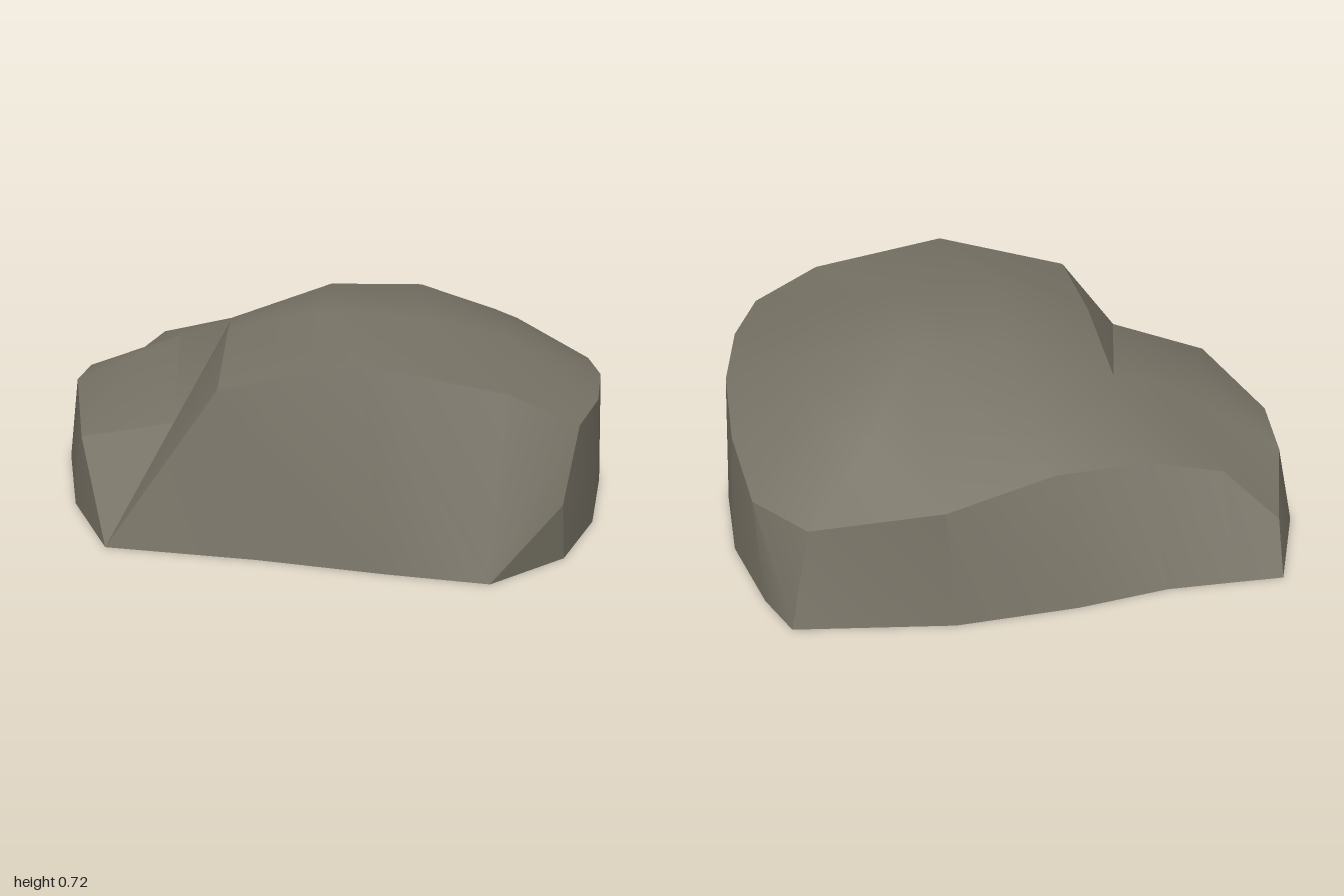
import * as THREE from 'three';
import { toCreasedNormals } from 'three/addons/utils/BufferGeometryUtils.js';

const stone = new THREE.MeshStandardMaterial({ color: 0x777265, side: THREE.DoubleSide });
stone.name = 'stone';

// Rings run counter-clockwise seen from above, starting at the foot of the cleft.
const foot = [-0.75, 0, 0.6];
const base = [
  [-0.75, 0.6], [-0.23, 0.68], [0.2, 0.77], [0.54, 0.83], [0.54, 0.83], [0.8, 0.64],
  [0.93, 0.36], [1, 0], [0.99, -0.3], [0.9, -0.6], [0.82, -0.76], [0.28, -0.835],
  [-0.14, -0.82], [-0.46, -0.78], [-0.7, -0.785], [-0.87, -0.79], [-1, -0.48],
  [-1, -0.16], [-0.91, 0.26], [-0.75, 0.6],
].map(([x, z]) => [x, 0, z]);

// Sharp shoulder edge where the sides meet the top
const corner = [0.83, 0.47, 0.61];
const rim = [
  foot, [-0.36, 0.555, 0.54], [0.11, 0.675, 0.61], [0.59, 0.585, 0.63], corner, corner,
  [0.92, 0.47, 0.38], [0.965, 0.455, 0.1], [0.96, 0.405, -0.2], [0.91, 0.335, -0.48],
  [0.74, 0.337, -0.675], [0.3, 0.43, -0.78], [-0.09, 0.427, -0.635], [-0.41, 0.413, -0.6],
  [-0.68, 0.35, -0.61], [-0.87, 0.18, -0.69], [-0.95, 0.275, -0.42],
  [-0.965, 0.3, -0.2], [-0.87, 0.27, 0.28], foot,
];

// Key points on the top
const cleft = [-0.53, 0.365, 0.37], cleftEnd = [-0.38, 0.53, -0.23];
const ridge = [-0.36, 0.61, 0.1], peak = [-0.02, 0.72, 0.21];
const crown = [0.33, 0.695, -0.18], crownLeft = [0, 0.695, -0.18];
const front = [0.34, 0.695, 0.2], right = [0.6, 0.63, 0.2];
const backLeft = [-0.57, 0.475, -0.22], left = [-0.72, 0.435, -0.12];
const inner = [
  cleft, ridge, peak, front, right, right, right, [0.68, 0.595, 0], [0.69, 0.56, -0.2],
  [0.62, 0.54, -0.36], [0.5, 0.53, -0.45], crown, crownLeft, cleftEnd, backLeft, backLeft,
  left, left, cleft, cleft,
];

const same = (a, b) => a.every((v, i) => v === b[i]);

// Add a triangle unless two corners coincide
function tri(out, a, b, c) {
  if (!same(a, b) && !same(b, c) && !same(a, c)) out.push(...a, ...b, ...c);
}

// Join columns from..to of two rings
function strip(out, low, high, from, to) {
  for (let i = from; i < to; i++) {
    tri(out, low[i], low[i + 1], high[i]);
    tri(out, low[i + 1], high[i + 1], high[i]);
  }
}

function fan(out, centre, points) {
  for (let i = 0; i < points.length - 1; i++) tri(out, centre, points[i], points[i + 1]);
}

function part(name, points, crease) {
  const g = new THREE.BufferGeometry();
  g.setAttribute('position', new THREE.Float32BufferAttribute(points, 3));
  g.computeVertexNormals();
  const mesh = new THREE.Mesh(toCreasedNormals(g, crease), stone);
  mesh.name = name;
  return mesh;
}

export function createModel() {
  const group = new THREE.Group();
  group.name = 'rock';

  // Steep sides, with a chipped front corner
  const sides = [];
  strip(sides, base, rim, 0, 4);
  fan(sides, [0.78, 0.22, 0.69], [base[4], base[5], corner, base[4]]);
  strip(sides, base, rim, 5, 19);
  group.add(part('rockSides', sides, 0.45));

  // Rounded top
  const top = [];
  strip(top, rim, inner, 1, 18);
  fan(top, crownLeft, [cleftEnd, ridge, peak, front, crown]);
  fan(top, crown, inner.slice(3, 12));
  fan(top, cleft, [cleftEnd, backLeft, left]);
  group.add(part('rockTop', top, 0.6));

  // Cleft cut into the front left
  const cut = [];
  strip(cut, rim, inner, 0, 1);
  strip(cut, rim, inner, 18, 19);
  tri(cut, cleft, ridge, cleftEnd);
  group.add(part('rockCleft', cut, 0.45));

  return group;
}
